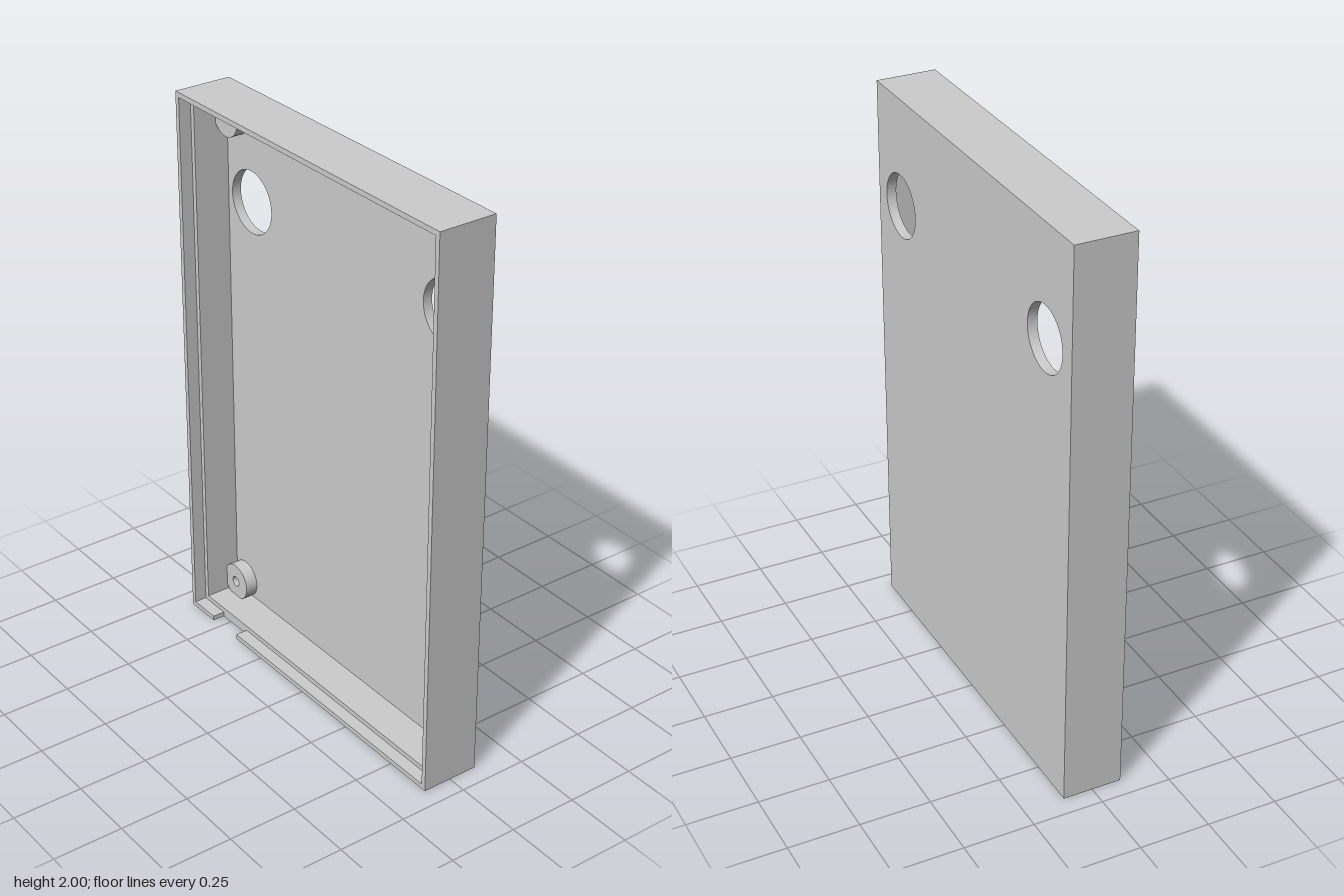
import * as THREE from 'three';

const W = 0.68, H = 2, BACK = -0.105, FRONT = 0.105;
const FLOOR = 0.034;   // back panel thickness
const LIP = 0.045;     // depth of the thin front lip
const WALL = 0.036, THIN = 0.018;

const material = new THREE.MeshStandardMaterial({ color: 0xcccccc });

// Rectangle inset from the outer outline
function rect(Type, inset) {
  const x = W - inset, b = inset, t = H - inset;
  return new Type([[-x, b], [x, b], [x, t], [-x, t]].map(p => new THREE.Vector2(...p)));
}

function circle(Type, x, y, r) {
  const c = new Type();
  c.absarc(x, y, r, 0, Math.PI * 2, false);
  return c;
}

// Extrude a shape between two z planes
function slab(name, shape, z0, z1) {
  const geometry = new THREE.ExtrudeGeometry(shape, { depth: z1 - z0, bevelEnabled: false, curveSegments: 32 });
  geometry.translate(0, 0, z0);
  const mesh = new THREE.Mesh(geometry, material);
  mesh.name = name;
  return mesh;
}

export function createModel() {
  const group = new THREE.Group();
  group.name = 'enclosureHalf';
  const floorZ = BACK + FLOOR, ledgeZ = FRONT - LIP;

  // Back panel with two round openings
  const panel = rect(THREE.Shape, 0);
  for (const s of [-1, 1]) panel.holes.push(circle(THREE.Path, s * 0.51, 1.62, 0.112));
  group.add(slab('backPanel', panel, BACK, floorZ));

  // Thick side walls, ending in a ledge
  const walls = rect(THREE.Shape, 0);
  walls.holes.push(rect(THREE.Path, WALL));
  group.add(slab('sideWalls', walls, floorZ, ledgeZ));

  // Thin front lip, broken by a cable notch in the bottom edge
  const n0 = -0.545, n1 = -0.4, i = W - THIN;
  const lip = new THREE.Shape([
    [n1, 0], [W, 0], [W, H], [-W, H], [-W, 0], [n0, 0],
    [n0, THIN], [-i, THIN], [-i, H - THIN], [i, H - THIN], [i, THIN], [n1, THIN],
  ].map(p => new THREE.Vector2(...p)));
  group.add(slab('frontLip', lip, ledgeZ, FRONT));

  // Corner screw bosses, running into the walls
  for (const x of [-0.588, 0.588]) {
    for (const y of [0.095, 1.907]) {
      const boss = circle(THREE.Shape, x, y, 0.068);
      boss.holes.push(circle(THREE.Path, x, y, 0.019));
      group.add(slab('screwBoss', boss, floorZ, floorZ + 0.046));
    }
  }
  return group;
}
